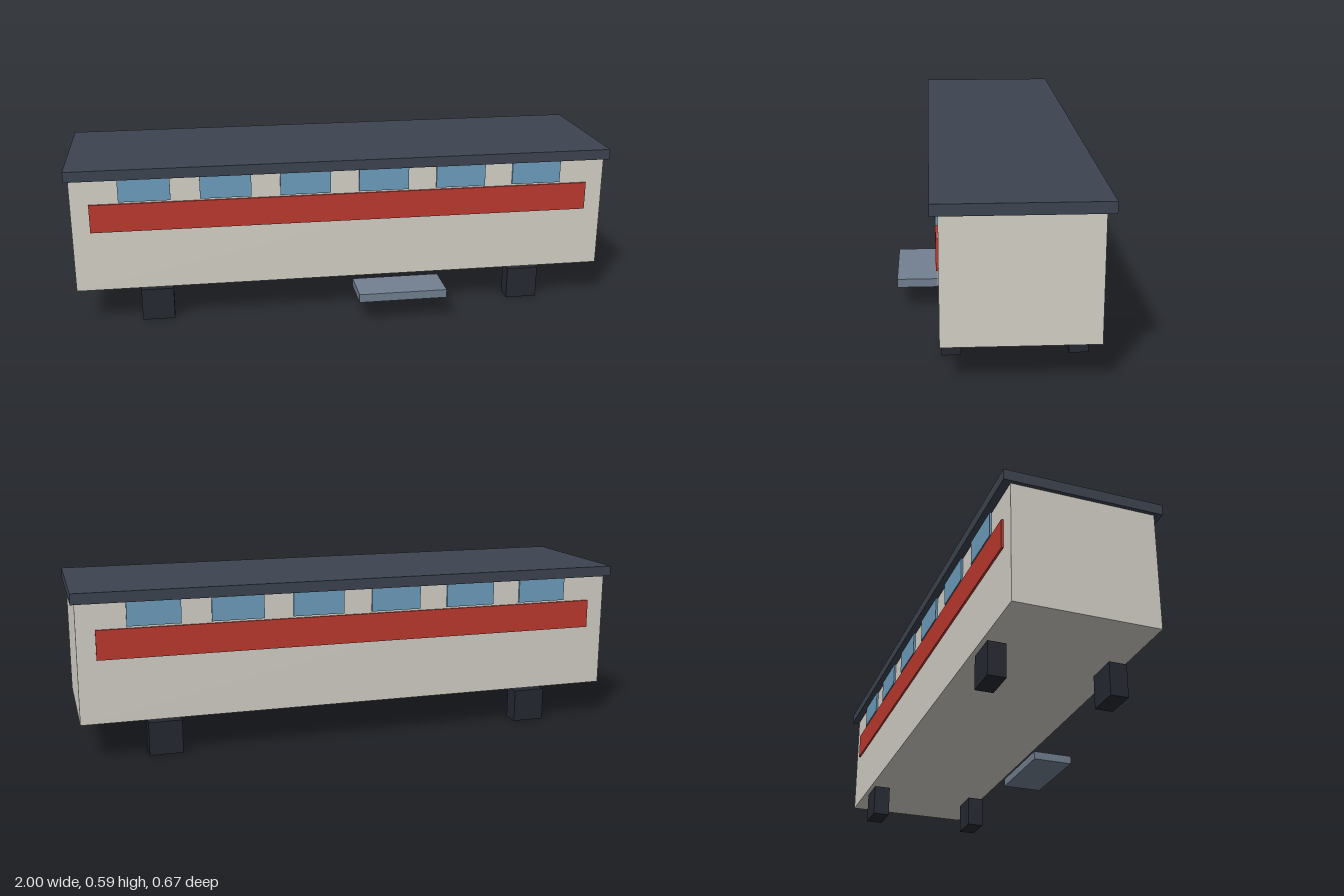
import * as THREE from 'three';

const MID = -0.058; // centre line of the coach in z

export function createModel() {
  const group = new THREE.Group();
  const mat = (color) => new THREE.MeshStandardMaterial({ color });
  const cream = mat(0xd6d3c9), slate = mat(0x3d4450), red = mat(0xbf3a30);
  const glass = mat(0x6f9fc0), dark = mat(0x262932), steel = mat(0x738091);

  // box given by its centre and size
  const box = (name, material, [x, y, z], size) => {
    const mesh = new THREE.Mesh(new THREE.BoxGeometry(...size), material);
    mesh.name = name;
    mesh.position.set(x, y, z);
    group.add(mesh);
  };

  // coach body and overhanging roof
  box('body', cream, [0, 0.344, MID], [1.974, 0.422, 0.5]);
  box('roof', slate, [0, 0.574, MID - 0.001], [2, 0.038, 0.554]);

  for (const side of [1, -1]) {
    const skin = MID + side * 0.252;
    // side stripe and row of windows
    box('stripe', red, [0, 0.409, skin], [1.844, 0.104, 0.01]);
    for (let i = 0; i < 6; i++) {
      box('window', glass, [-0.725 + i * 0.29, 0.516, skin], [0.185, 0.096, 0.01]);
    }
    // block wheels
    for (const end of [1, -1]) {
      box('wheel', dark, [end * 0.698, 0.06, MID + side * 0.21], [0.118, 0.12, 0.064]);
    }
  }

  // boarding step on the front side
  box('step', steel, [0.196, 0.1, 0.259], [0.327, 0.031, 0.155]);
  return group;
}
